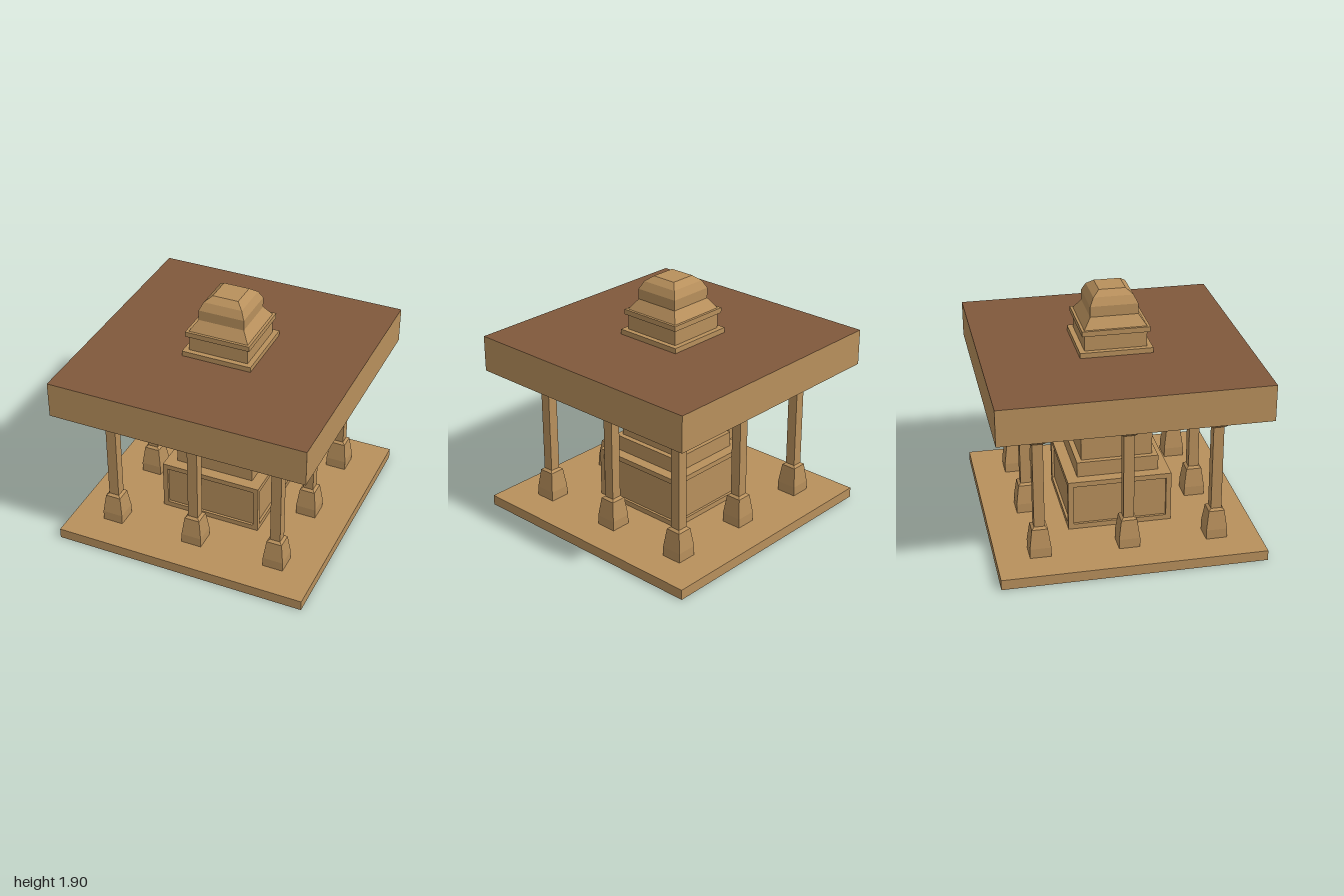
import * as THREE from 'three';

const stone = new THREE.MeshStandardMaterial({ color: 0xb8905c, flatShading: true });
const roofTop = new THREE.MeshStandardMaterial({ color: 0x80583c, flatShading: true });

// Square-plan solid from [halfWidth, y] pairs, bottom to top
function squareLoft(name, profile) {
  const points = [[0, profile[0][1]], ...profile, [0, profile.at(-1)[1]]]
    .map(([half, y]) => new THREE.Vector2(half * Math.SQRT2, y));
  const mesh = new THREE.Mesh(new THREE.LatheGeometry(points, 4, Math.PI / 4), stone);
  mesh.name = name;
  return mesh;
}

// Square slab between two heights
function slab(name, half, y0, y1, material = stone) {
  const mesh = new THREE.Mesh(new THREE.BoxGeometry(half * 2, y1 - y0, half * 2), material);
  mesh.position.y = (y0 + y1) / 2;
  mesh.name = name;
  return mesh;
}

// Rectangular frame around a recessed panel
function panelFrame(half, depth) {
  const rect = (path, w, y0, y1) =>
    path.moveTo(-w, y0).lineTo(w, y0).lineTo(w, y1).lineTo(-w, y1).closePath();
  const shape = rect(new THREE.Shape(), half, 0.08, 0.48);
  shape.holes.push(rect(new THREE.Path(), 0.36, 0.12, 0.44));
  return new THREE.ExtrudeGeometry(shape, { depth, bevelEnabled: false });
}

export function createModel() {
  const model = new THREE.Group();
  model.name = 'pavilion';

  // Floor and roof, with a darker covering on the roof's upper face
  model.add(slab('floor', 1, 0, 0.08));
  model.add(slab('roof', 1, 1.16, 1.44, [stone, stone, roofTop, stone, stone, stone]));

  // Panelled pedestal: core with a frame on each side
  const pedestal = new THREE.Group();
  pedestal.name = 'pedestal';
  pedestal.add(slab('pedestalCore', 0.38, 0.08, 0.48));
  for (let i = 0; i < 4; i++) {
    const frame = new THREE.Mesh(panelFrame(i % 2 ? 0.38 : 0.4, 0.02), stone);
    frame.name = 'panelFrame';
    const angle = i * Math.PI / 2;
    frame.rotation.y = angle;
    frame.position.set(0.38 * Math.sin(angle), 0, 0.38 * Math.cos(angle));
    pedestal.add(frame);
  }
  pedestal.add(slab('pedestalStep', 0.315, 0.48, 0.6));
  model.add(pedestal);

  // Central pier below the roof
  model.add(slab('centralPier', 0.275, 0.6, 1.16));

  // Crown above the roof
  const crown = new THREE.Group();
  crown.name = 'crown';
  crown.add(slab('crownBase', 0.275, 1.44, 1.48));
  crown.add(slab('crownNeck', 0.235, 1.48, 1.6));
  crown.add(slab('crownCornice', 0.255, 1.6, 1.64));
  crown.add(squareLoft('crownDome', [
    [0.235, 1.64], [0.18, 1.72], [0.18, 1.8], [0.15, 1.86], [0.1, 1.9],
  ]));
  model.add(crown);

  // Eight columns around the edge
  for (const x of [-0.67, 0, 0.67]) {
    for (const z of [-0.67, 0, 0.67]) {
      if (x === 0 && z === 0) continue;
      const column = new THREE.Group();
      column.name = 'column';
      column.add(squareLoft('columnBase', [
        [0.08, 0.08], [0.08, 0.155], [0.06, 0.305], [0.04, 0.32],
      ]));
      column.add(slab('columnShaft', 0.04, 0.32, 1.0));
      column.add(squareLoft('columnCapital', [[0.045, 1.0], [0.06, 1.015], [0.06, 1.16]]));
      column.position.set(x, 0, z);
      model.add(column);
    }
  }
  return model;
}
